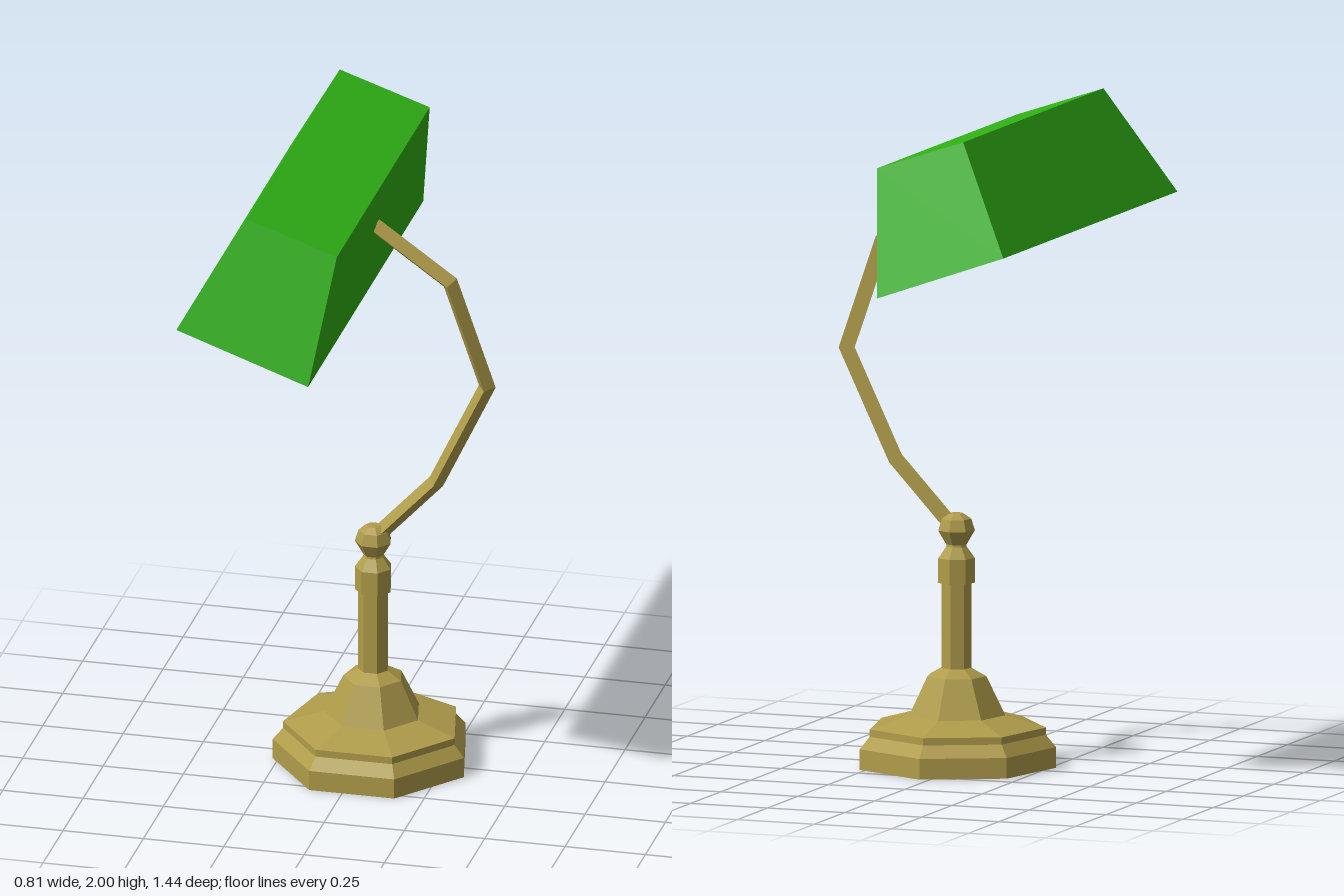
import * as THREE from 'three';

const brass = new THREE.MeshStandardMaterial({ color: 0xaf9c4a, flatShading: true, side: THREE.DoubleSide });
const green = new THREE.MeshStandardMaterial({ color: 0x2fb015, flatShading: true, side: THREE.DoubleSide });
const SIDES = 7;
const AXIS_X = 0.03; // the stand sits slightly off centre

// Joins equal-sized closed rings of points with quads; optional end caps
function loft(rings, capped) {
  const n = rings[0].length, index = [];
  for (let i = 0; i < rings.length - 1; i++) {
    for (let j = 0; j < n; j++) {
      const a = i * n + j, b = i * n + (j + 1) % n;
      index.push(a, b, a + n, b, b + n, a + n);
    }
  }
  if (capped) {
    const last = (rings.length - 1) * n;
    for (let j = 1; j < n - 1; j++) {
      index.push(0, j + 1, j, last, last + j, last + j + 1);
    }
  }
  const geometry = new THREE.BufferGeometry();
  geometry.setAttribute('position', new THREE.Float32BufferAttribute(rings.flat(2), 3));
  geometry.setIndex(index);
  geometry.computeVertexNormals();
  return geometry;
}

function addMesh(group, name, geometry, material) {
  const mesh = new THREE.Mesh(geometry, material);
  mesh.name = name;
  group.add(mesh);
  return mesh;
}

// Seven-sided turned part with a corner pointing to the back
function addTurned(group, name, profile) {
  const points = profile.map(([r, y]) => new THREE.Vector2(r, y));
  const mesh = addMesh(group, name, new THREE.LatheGeometry(points, SIDES, Math.PI), brass);
  mesh.position.x = AXIS_X;
}

// Triangular bar along a path in the xy plane, mitred at the bends
function barGeometry(path, radius) {
  const points = path.map(([x, y]) => new THREE.Vector2(x, y));
  const last = points.length - 1;
  const rings = points.map((p, i) => {
    const before = points[i].clone().sub(points[Math.max(i - 1, 0)]).normalize();
    const after = points[Math.min(i + 1, last)].clone().sub(points[i]).normalize();
    const along = before.clone().add(after).normalize();
    const stretch = 1 / Math.max(along.dot(before), along.dot(after));
    const ring = [];
    for (let k = 0; k < 3; k++) {
      const angle = k * Math.PI * 2 / 3;
      const side = Math.sin(angle) * radius * stretch;
      ring.push([p.x + along.y * side, p.y - along.x * side, Math.cos(angle) * radius]);
    }
    return ring;
  });
  return loft(rings, true);
}

// Four-sided trough, open underneath, with ends that lean inward
function shadeGeometry() {
  const rim = [[0.005, 1.53], [-0.405, 1.675]];
  const crown = [[0.06, 1.905], [-0.22, 2.0]];
  const ring = ([a, b], z) => [[...a, z], [...a, -z], [...b, -z], [...b, z]];
  const geometry = loft([ring(rim, 0.72), ring(crown, 0.58)], false);
  // Crown panel
  geometry.setIndex([...geometry.index.array, 4, 5, 6, 4, 6, 7]);
  geometry.computeVertexNormals();
  return geometry;
}

export function createModel() {
  const lamp = new THREE.Group();
  lamp.name = 'deskLamp';

  // Hollow stepped foot
  addTurned(lamp, 'base', [
    [0.305, 0], [0.305, 0.063], [0.274, 0.1], [0.274, 0.122],
    [0.15, 0.157], [0.092, 0.275], [0.05, 0.298],
  ]);
  // Column with a collar at its top
  addTurned(lamp, 'column', [
    [0.05, 0.298], [0.047, 0.3], [0.047, 0.56], [0.057, 0.56],
    [0.057, 0.635], [0.032, 0.67], [0.03, 0.68],
  ]);
  // Ball joint
  addTurned(lamp, 'ballJoint', [
    [0, 0.67], [0.032, 0.677], [0.057, 0.72], [0.046, 0.755], [0.022, 0.771], [0, 0.772],
  ]);
  // Bent arm
  addMesh(lamp, 'arm', barGeometry([
    [0.03, 0.725], [0.222, 0.93], [0.38, 1.26], [0.265, 1.59], [0.03, 1.755],
  ], 0.028), brass);
  // Tilted shade
  addMesh(lamp, 'shade', shadeGeometry(), green);

  return lamp;
}
